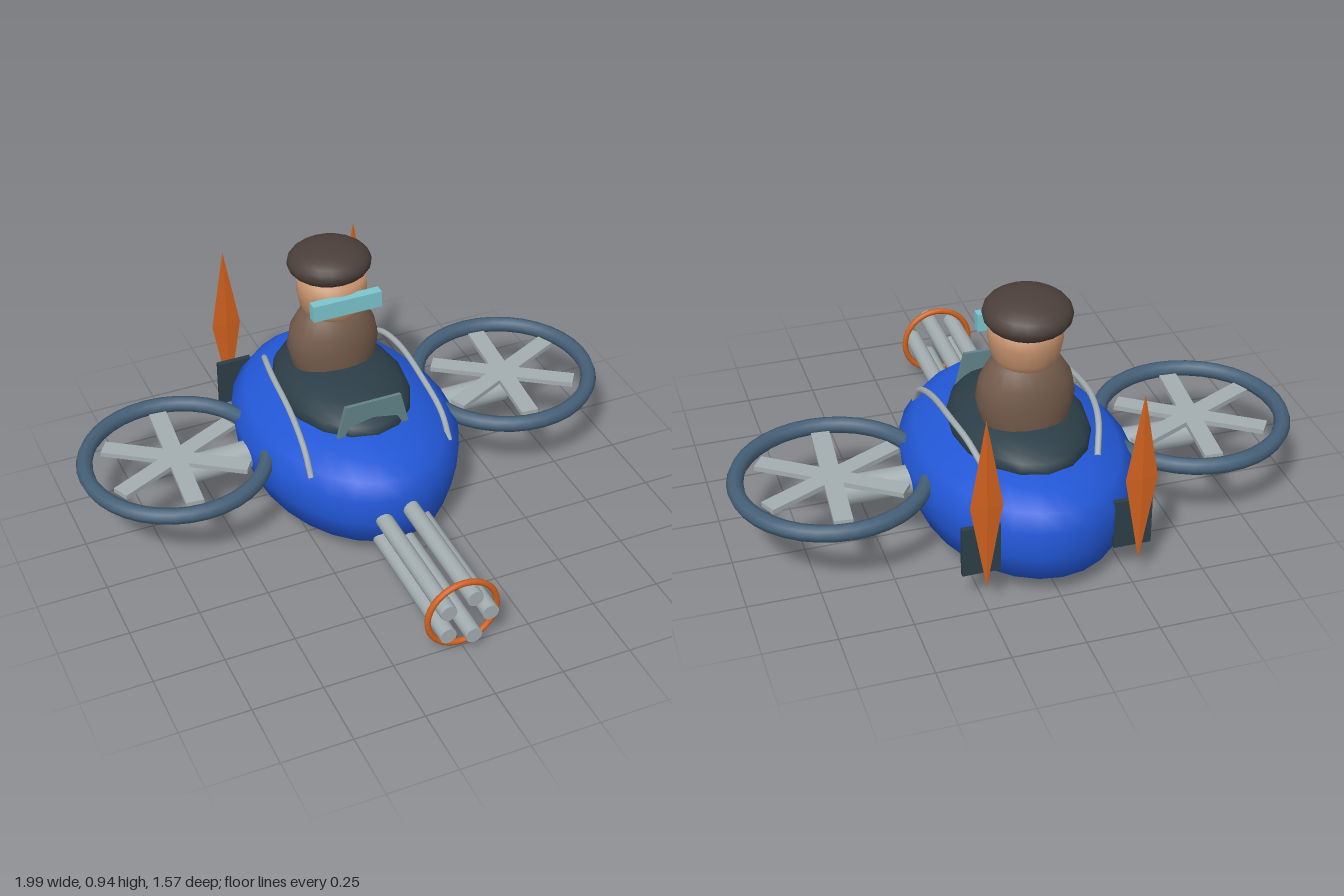
import * as THREE from 'three';
import { mergeVertices } from 'three/addons/utils/BufferGeometryUtils.js';

const material = (name, color) => {
  const m = new THREE.MeshStandardMaterial({ color });
  m.name = name;
  return m;
};

// Smooth body from rings of [y, half width, half length]
function ringBody(rings, segments) {
  const geo = new THREE.LatheGeometry(rings.map(([y, , rz]) => new THREE.Vector2(rz, y)), segments);
  const pos = geo.attributes.position;
  for (let i = 0; i < pos.count; i++) {
    const [, rx, rz] = rings[i % rings.length];
    if (rz > 0) pos.setX(i, pos.getX(i) * rx / rz);
  }
  geo.deleteAttribute('uv');
  geo.deleteAttribute('normal');
  const merged = mergeVertices(geo, 1e-4);
  merged.computeVertexNormals();
  return merged;
}

export function createModel() {
  const model = new THREE.Group();
  model.name = 'gunship';
  const blue = material('hull blue', 0x2257d6);
  const slate = material('ring slate', 0x456078);
  const dark = material('cockpit dark', 0x2c3e48);
  const grey = material('metal grey', 0xa3adb0);
  const orange = material('orange', 0xd0611f);
  const brown = material('jacket brown', 0x735b4b);
  const hatBrown = material('hat brown', 0x4b3f3a);
  const skin = material('skin', 0xc4916c);
  const lens = material('goggle blue', 0x7cc4cf);
  const glass = material('windscreen teal', 0x628488);

  const add = (name, geo, mat, x = 0, y = 0, z = 0, parent = model) => {
    const mesh = new THREE.Mesh(geo, mat);
    mesh.name = name;
    mesh.position.set(x, y, z);
    parent.add(mesh);
    return mesh;
  };

  // Hull
  add('hull', ringBody([
    [0.01, 0, 0], [0.027, 0.2, 0.39], [0.095, 0.345, 0.51], [0.19, 0.38, 0.532], [0.29, 0.388, 0.535],
    [0.345, 0.335, 0.5], [0.392, 0.235, 0.445], [0.415, 0.14, 0.25], [0.425, 0, 0],
  ], 28), blue, 0, 0, -0.25);

  // Cockpit cushion and windscreen
  add('cockpit', new THREE.SphereGeometry(1, 16, 12).scale(0.235, 0.1, 0.337), dark, 0, 0.41, -0.277);
  const screen = new THREE.Shape([[-0.138, 0.39], [0.138, 0.39], [0.105, 0.525], [-0.105, 0.525]]
    .map(([x, y]) => new THREE.Vector2(x, y)));
  add('windscreen', new THREE.ExtrudeGeometry(screen, { depth: 0.013, bevelEnabled: false }), glass, 0, 0, 0.005);

  // Pilot
  const pilot = new THREE.Group();
  pilot.name = 'pilot';
  pilot.position.z = -0.35;
  model.add(pilot);
  add('torso', ringBody([
    [0.4, 0.12, 0.11], [0.47, 0.148, 0.124], [0.56, 0.17, 0.128], [0.63, 0.157, 0.122],
    [0.69, 0.12, 0.1], [0.73, 0.07, 0.06], [0.74, 0, 0],
  ], 24), brown, 0, 0, 0, pilot);
  add('head', ringBody([
    [0.66, 0, 0], [0.68, 0.09, 0.09], [0.72, 0.114, 0.114], [0.78, 0.126, 0.126],
    [0.84, 0.122, 0.122], [0.88, 0, 0],
  ], 24), skin, 0, 0, 0, pilot);
  add('hat', new THREE.SphereGeometry(1, 20, 14).scale(0.15, 0.071, 0.15), hatBrown, 0, 0.878, -0.02, pilot)
    .rotation.x = -0.06;
  add('goggles', new THREE.BoxGeometry(0.258, 0.062, 0.036), lens, 0, 0.783, 0.13, pilot);

  // Five barrels held by a ring
  for (let i = 0; i < 5; i++) {
    const a = i * Math.PI * 2 / 5;
    add('barrel', new THREE.CylinderGeometry(0.03, 0.03, 0.74, 12).rotateX(Math.PI / 2), grey,
      0.085 * Math.cos(a), 0.155 + 0.085 * Math.sin(a), 0.417);
  }
  add('barrelRing', new THREE.TorusGeometry(0.127, 0.011, 8, 32), orange, 0, 0.152, 0.745);

  for (const s of [1, -1]) {
    const side = s > 0 ? 'left' : 'right';

    // Rotor with ring guard, three crossing bars and a support arm
    const rotor = new THREE.Group();
    rotor.name = side + 'Rotor';
    rotor.position.set(s * 0.645, 0.288, -0.25);
    model.add(rotor);
    add('rotorRing', new THREE.TorusGeometry(0.322, 0.029, 8, 36).rotateX(Math.PI / 2), slate, 0, 0, 0, rotor);
    for (let i = 0; i < 3; i++) {
      add('rotorBlade', new THREE.BoxGeometry(0.535, 0.018, 0.064), grey, 0, 0, 0, rotor)
        .rotation.y = THREE.MathUtils.degToRad(25.4 + i * 60);
    }
    add(side + 'RotorArm', new THREE.CylinderGeometry(0.051, 0.051, 0.4, 14).rotateZ(Math.PI / 2), grey,
      s * 0.445, 0.223, -0.248);

    // Handrail arching beside the cockpit
    const path = new THREE.CatmullRomCurve3([
      [0.265, 0.32, 0.085], [0.263, 0.4, 0.02], [0.255, 0.455, -0.12], [0.247, 0.485, -0.32],
      [0.225, 0.47, -0.45], [0.19, 0.395, -0.545],
    ].map(([x, y, z]) => new THREE.Vector3(s * x, y, z)));
    add(side + 'Handrail', new THREE.TubeGeometry(path, 28, 0.011, 8), grey);

    // Tail bracket and diamond blade
    add(side + 'TailBracket', new THREE.BoxGeometry(0.13, 0.18, 0.02), dark, s * 0.26, 0.222, -0.698);
    add(side + 'TailBlade', new THREE.OctahedronGeometry(1).scale(0.055, 0.318, 0.007), orange,
      s * 0.26, 0.433, -0.763);
  }
  return model;
}
